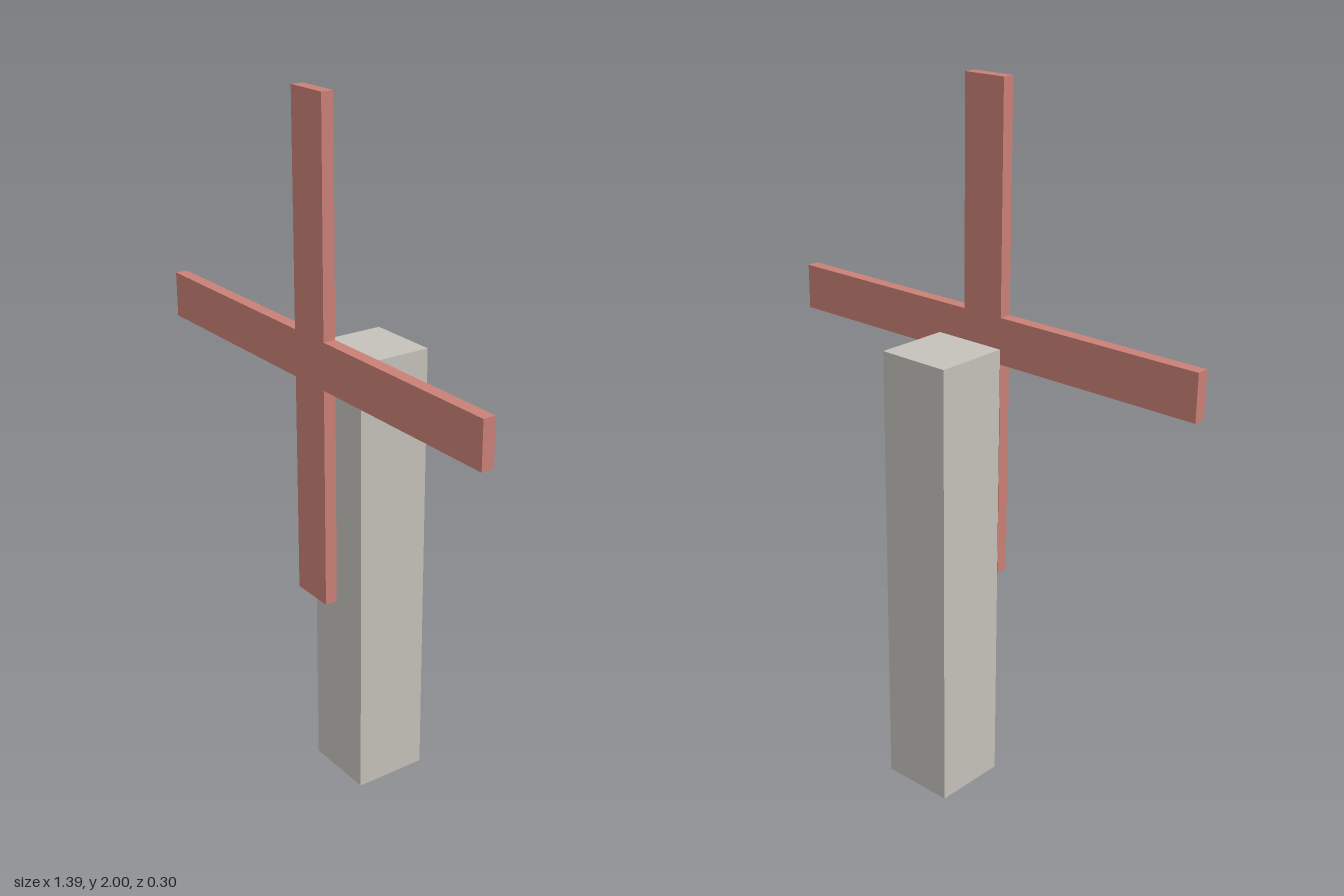
import * as THREE from 'three';

export function createModel() {
  const model = new THREE.Group();
  const stone = new THREE.MeshStandardMaterial({ name: 'stone grey', color: 0xc4c1ba });
  const red = new THREE.MeshStandardMaterial({ name: 'faded red', color: 0xc97f76 });

  const hubY = 1.306;

  // Square tower, its top level with the hub of the sails
  const tower = new THREE.Mesh(new THREE.BoxGeometry(0.217, hubY, 0.217), stone);
  tower.name = 'tower';
  tower.position.set(0, hubY / 2, -0.0435);
  model.add(tower);

  // Four sails as one flat cross: three corners per quarter turn
  const reach = 0.694, half = 0.0655, depth = 0.036;
  const corners = [];
  for (let i = 0; i < 4; i++) {
    for (const [x, y] of [[reach, -half], [reach, half], [half, half]]) {
      corners.push(new THREE.Vector2(x, y).rotateAround(new THREE.Vector2(), i * Math.PI / 2));
    }
  }
  const sails = new THREE.Mesh(
    new THREE.ExtrudeGeometry(new THREE.Shape(corners), { depth, bevelEnabled: false }), red);
  sails.name = 'sails';
  sails.position.set(0, hubY, 0.152 - depth);
  model.add(sails);

  return model;
}
